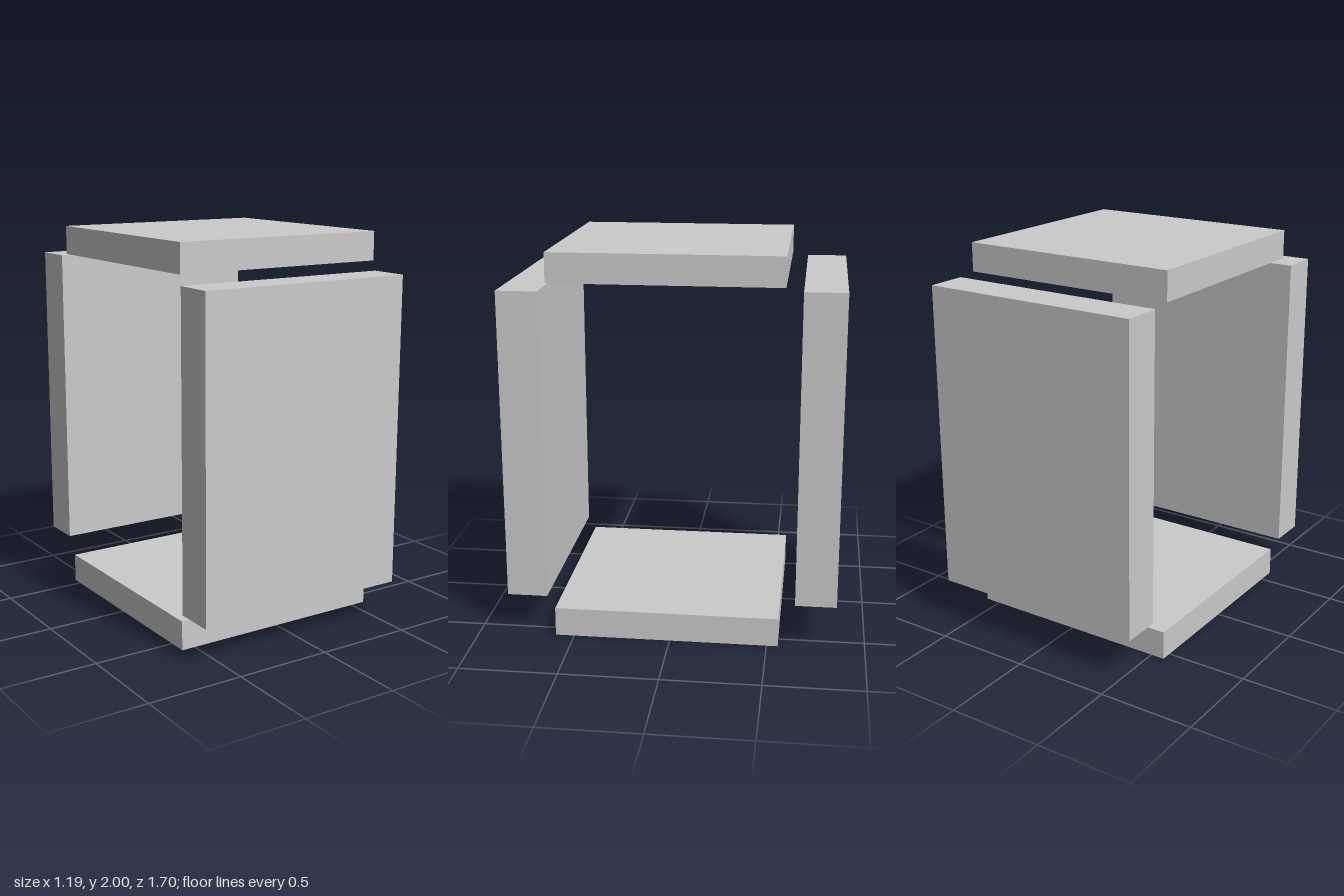
import * as THREE from 'three';

export function createModel() {
  const group = new THREE.Group();
  const material = new THREE.MeshStandardMaterial({ color: 0xcccccc, flatShading: true });

  // Box given by its lower and upper corners
  function panel(name, min, max) {
    const size = max.map((v, i) => v - min[i]);
    const mesh = new THREE.Mesh(new THREE.BoxGeometry(...size), material);
    mesh.position.set(...max.map((v, i) => (v + min[i]) / 2));
    mesh.name = name;
    group.add(mesh);
  }

  // Horizontal slabs
  panel('bottomPanel', [-0.573, 0, -0.558], [0.583, 0.151, 0.597]);
  panel('topPanel', [-0.573, 1.851, -0.558], [0.583, 2, 0.597]);

  // Upright slabs, slightly offset from each other
  panel('frontPanel', [-0.598, 0.205, 0.643], [0.557, 1.805, 0.851]);
  panel('backPanel', [-0.561, 0.236, -0.851], [0.595, 1.836, -0.641]);

  return group;
}
